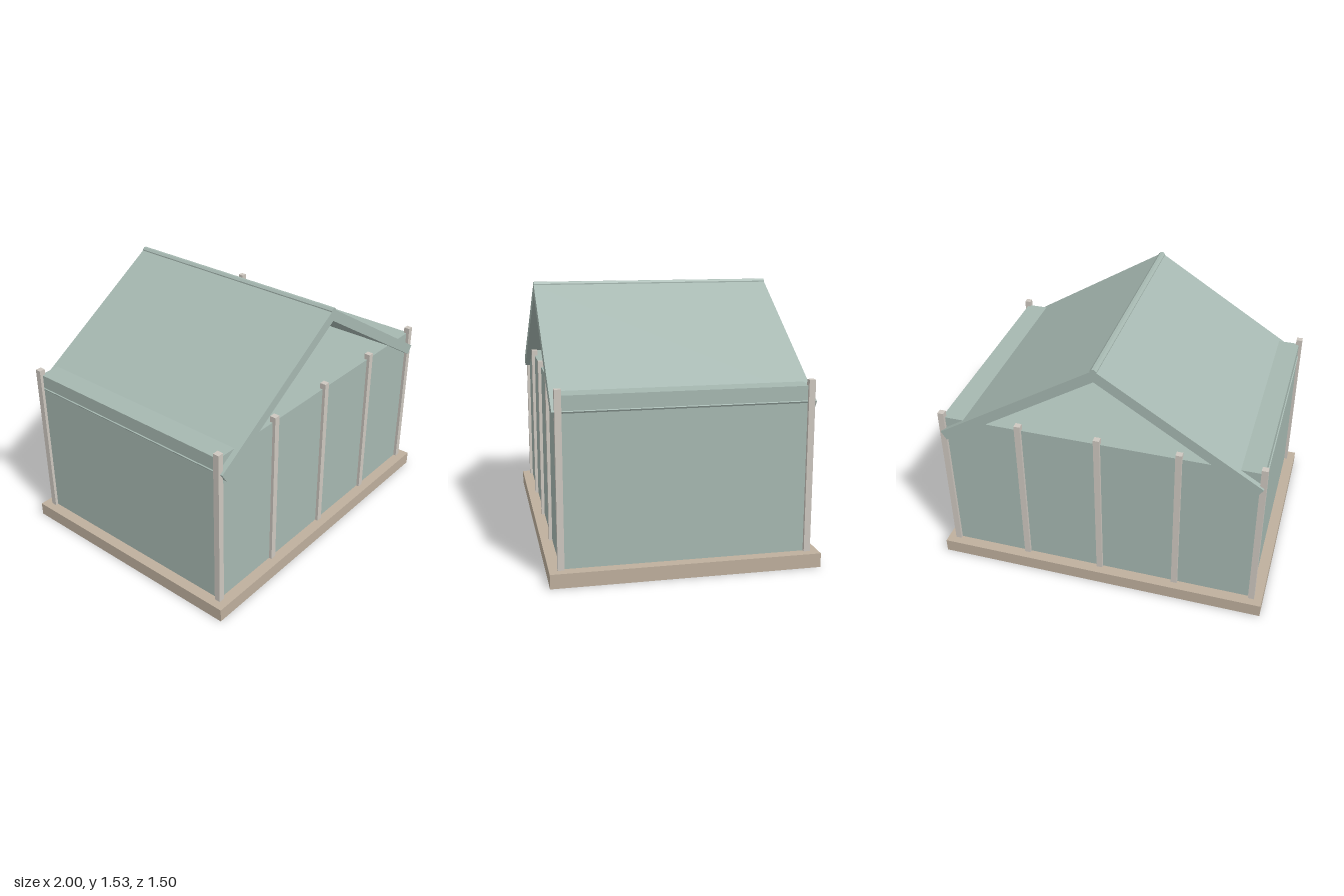
import * as THREE from 'three';

export function createModel() {
  const model = new THREE.Group();
  model.name = 'gabledPavilion';

  const material = (name, color) => {
    const m = new THREE.MeshStandardMaterial({ color });
    m.name = name;
    return m;
  };
  const sageGreen = material('sageGreen', 0xa6b8b1);
  const sandStone = material('sandStone', 0xbeaf9d);
  const paleGrey = material('paleGrey', 0xcdc7bf);

  const box = (name, mat, w, h, d, x, y, z, parent = model) => {
    const mesh = new THREE.Mesh(new THREE.BoxGeometry(w, h, d), mat);
    mesh.name = name;
    mesh.position.set(x, y, z);
    parent.add(mesh);
    return mesh;
  };

  const baseHeight = 0.08, wallTop = 1.015, postTop = 1.05;
  const halfWidth = 0.935, halfDepth = 0.685;

  // Plinth and enclosed room with a flat ceiling
  box('base', sandStone, 2, baseHeight, 1.5, 0, baseHeight / 2, 0);
  box('walls', sageGreen, halfWidth * 2, wallTop - baseHeight, halfDepth * 2,
    0, (wallTop + baseHeight) / 2, 0);

  // Five posts along the front and five along the back
  const posts = new THREE.Group();
  posts.name = 'posts';
  model.add(posts);
  for (const side of [1, -1]) {
    for (let i = -2; i <= 2; i++) {
      box(side > 0 ? 'frontPost' : 'backPost', paleGrey, 0.036, postTop - baseHeight, 0.036,
        i * halfWidth / 2, (postTop + baseHeight) / 2, side * halfDepth, posts);
    }
  }

  // Two sloping roof panels meeting at the ridge
  const roof = new THREE.Group();
  roof.name = 'roof';
  model.add(roof);
  const ridgeY = 1.485, eaveX = 0.925, eaveY = 0.905, roofDepth = 1.434;
  const slopeLength = Math.hypot(eaveX, ridgeY - eaveY);
  const pitch = Math.atan2(ridgeY - eaveY, eaveX);
  for (const side of [1, -1]) {
    const panel = box(side > 0 ? 'leftRoofPanel' : 'rightRoofPanel', sageGreen,
      slopeLength, 0.06, roofDepth, side * eaveX / 2, (ridgeY + eaveY) / 2, 0, roof);
    panel.rotation.z = -side * pitch;
  }

  // Faceted ridge cap
  const ridgeGeometry = new THREE.CylinderGeometry(0.021, 0.021, roofDepth, 8);
  ridgeGeometry.rotateY(Math.PI / 8).rotateX(Math.PI / 2);
  const ridge = new THREE.Mesh(ridgeGeometry.toNonIndexed(), sageGreen);
  ridge.geometry.computeVertexNormals();
  ridge.name = 'ridgeCap';
  ridge.position.y = 1.507;
  roof.add(ridge);

  return model;
}
